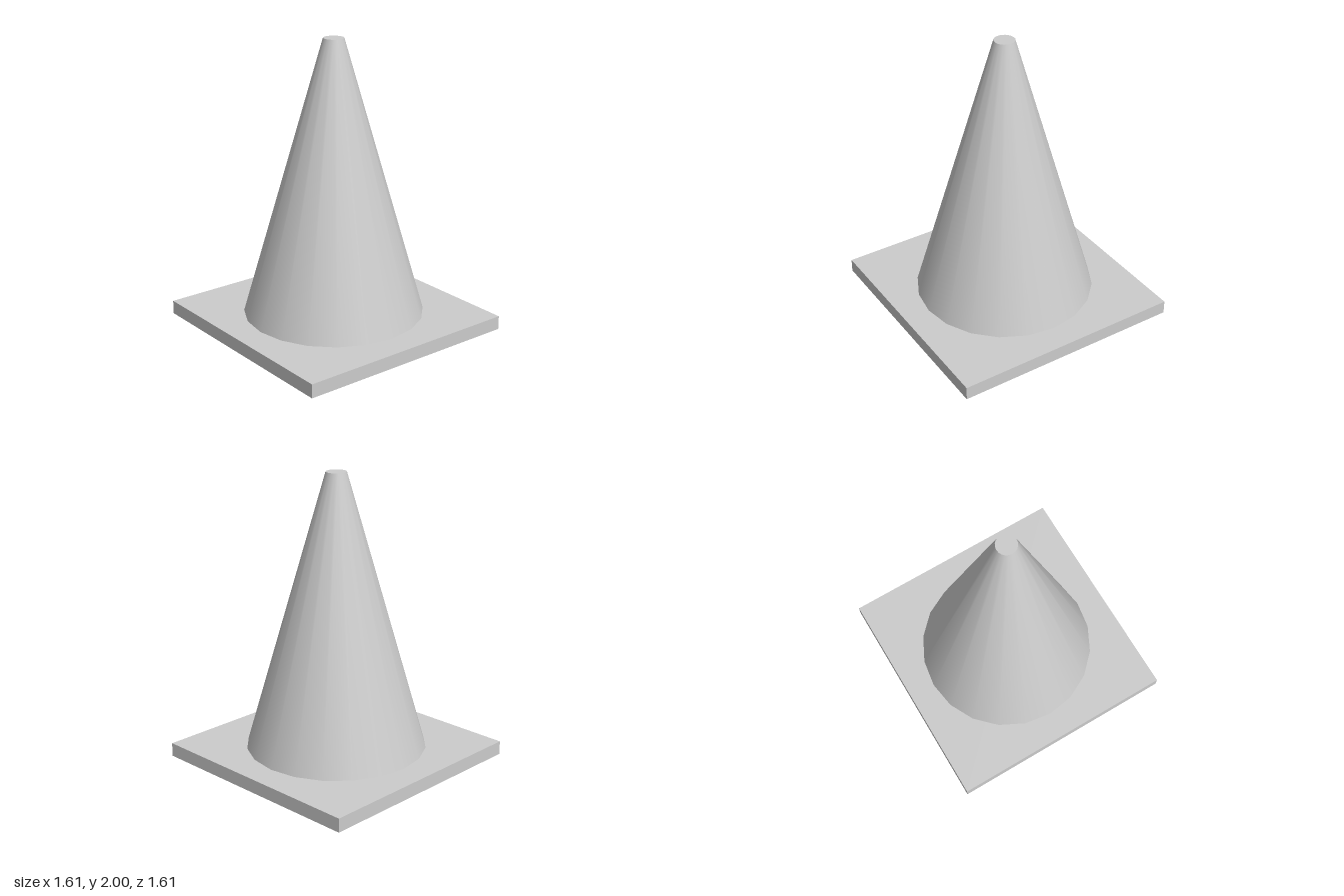
import * as THREE from 'three';

export function createModel() {
  const group = new THREE.Group();
  const material = new THREE.MeshStandardMaterial({ color: 0xcccccc });
  const baseWidth = 1.61, baseHeight = 0.095, totalHeight = 2;

  // Square foot plate
  const base = new THREE.Mesh(new THREE.BoxGeometry(baseWidth, baseHeight, baseWidth), material);
  base.name = 'base';
  base.position.y = baseHeight / 2;
  group.add(base);

  // Smooth-shaded, 20-sided tapering body with a flat closed tip
  const coneHeight = totalHeight - baseHeight;
  const cone = new THREE.Mesh(new THREE.CylinderGeometry(0.07, 0.62, coneHeight, 20), material);
  cone.name = 'cone';
  cone.position.y = baseHeight + coneHeight / 2;
  group.add(cone);

  return group;
}
